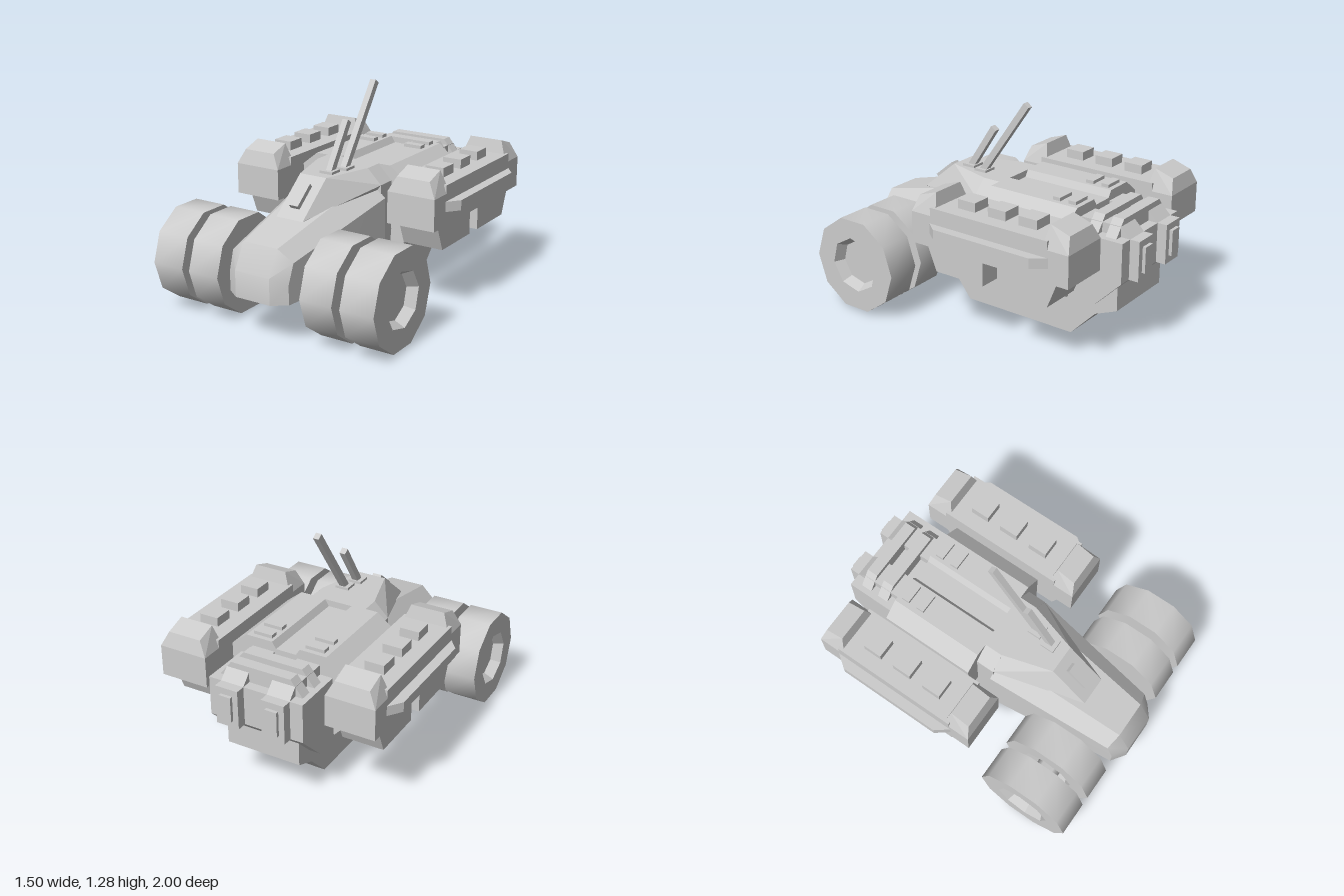
import * as THREE from 'three';
import { toCreasedNormals } from 'three/addons/utils/BufferGeometryUtils.js';
import { ConvexGeometry } from 'three/addons/geometries/ConvexGeometry.js';

const grey = new THREE.MeshStandardMaterial({ color: 0xcccccc });
const thin = new THREE.MeshStandardMaterial({ color: 0xcccccc, side: THREE.DoubleSide });

export function createModel() {
  const model = new THREE.Group();

  const add = (name, geometry, parent = model, material = grey) => {
    const mesh = new THREE.Mesh(geometry, material);
    mesh.name = name;
    parent.add(mesh);
    return mesh;
  };
  // Box given by its limits
  const box = (name, x0, x1, y0, y1, z0, z1, parent) => {
    const mesh = add(name, new THREE.BoxGeometry(Math.abs(x1 - x0), y1 - y0, z1 - z0), parent);
    mesh.position.set((x0 + x1) / 2, (y0 + y1) / 2, (z0 + z1) / 2);
    return mesh;
  };
  const shape = (pts) => new THREE.Shape(pts.map(([a, b]) => new THREE.Vector2(a, b)));
  const extrude = (s, depth) => new THREE.ExtrudeGeometry(s, { depth, bevelEnabled: false });
  // Side profile in (z, y), swept from x0 to x1
  const sweepX = (name, pts, x0, x1, parent) => add(name,
    extrude(shape(pts.map(([z, y]) => [-z, y])), x1 - x0).rotateY(Math.PI / 2).translate(x0, 0, 0), parent);
  // Front profile in (x, y), swept from z0 to z1
  const sweepZ = (name, pts, z0, z1, parent) => add(name,
    extrude(shape(pts), z1 - z0).translate(0, 0, z0), parent);
  const hull = (pts) => new ConvexGeometry(pts.map((p) => new THREE.Vector3(...p)));
  const mirrored = (pts) => [...pts, ...pts.map(([x, y, z]) => [-x, y, z])];
  const polygon = (Type, r, n, turn) => {
    const pts = [];
    for (let i = 0; i < n; i++) {
      const a = turn + (i / n) * Math.PI * 2;
      pts.push(new THREE.Vector2(r * Math.cos(a), r * Math.sin(a)));
    }
    return new Type(pts);
  };

  // Keel and lower hull
  sweepX('keel', [[0.215, 0], [0.36, 0.185], [-0.715, 0.185], [-0.535, 0]], -0.205, 0.205);
  sweepX('lowerHull', [[0.36, 0.185], [0.39, 0.26], [0.1, 0.45], [-0.86, 0.45], [-0.86, 0.245], [-0.715, 0.185]], -0.235, 0.235);

  // Tapered nose with rounded front corners
  add('nose', toCreasedNormals(hull(mirrored([
    [0.18, 0.745, 0.11], [0.295, 0.645, 0.11], [0.295, 0.245, 0.11],
    [0.115, 0.545, 0.92], [0.205, 0.475, 0.9], [0.2, 0.36, 0.94], [0.2, 0.245, 0.94],
    [0.115, 0.4, 1], [0.115, 0.245, 1],
  ])), 0.6));

  // Wedge cabin and its neck
  add('cabin', hull(mirrored([
    [0.09, 0.615, 0.65], [0.09, 0.81, 0.415], [0.18, 0.81, 0.11], [0.27, 0.72, 0.11],
    [0.18, 0.6, 0.11],
  ])));
  sweepZ('neck', [[-0.27, 0.42], [0.27, 0.42], [0.27, 0.72], [0.18, 0.81], [-0.18, 0.81], [-0.27, 0.72]], -0.01, 0.115);
  const hatch = add('hatch', new THREE.BoxGeometry(0.06, 0.03, 0.16));
  hatch.position.set(0, 0.723, 0.54);
  hatch.rotation.x = Math.atan2(0.195, 0.235);

  // Main block with a channel along the roof
  sweepZ('mainBlock', [
    [-0.36, 0.425], [0.36, 0.425], [0.36, 0.73], [0.26, 0.81], [0.09, 0.81], [0.065, 0.77],
    [-0.065, 0.77], [-0.09, 0.81], [-0.26, 0.81], [-0.36, 0.73],
  ], -0.6, 0);

  // Rear engine block and its cross bars
  sweepX('engineBlock', [[-0.59, 0.28], [-0.75, 0.28], [-0.92, 0.45], [-0.92, 0.69], [-0.59, 0.69]], -0.3, 0.3);
  for (const z of [-0.825, -0.705]) {
    sweepZ('engineBar', [[-0.265, 0.69], [0.265, 0.69], [0.19, 0.785], [-0.19, 0.785]], z - 0.035, z + 0.035);
  }

  // Slanted masts on foot plates: x, foot z and y, tip z and y
  for (const [x, z0, y0, z1, y1] of [[0.072, 0.2, 0.81, -0.125, 1.272], [0.045, 0.31, 0.81, 0.133, 1.08]]) {
    const mast = add('mast', new THREE.BoxGeometry(0.038, Math.hypot(z1 - z0, y1 - y0), 0.04));
    mast.position.set(x, (y0 + y1) / 2, (z0 + z1) / 2);
    mast.rotation.x = Math.atan2(z1 - z0, y1 - y0);
    box('mastFoot', x - 0.045, x + 0.04, 0.8, 0.825, z0 - 0.045, z0 + 0.04);
  }

  // Axle
  add('axle', new THREE.CylinderGeometry(0.075, 0.075, 1.2, 6).rotateZ(Math.PI / 2).translate(0, 0.3, 0.66));

  // Ten-sided wheel with an eight-sided recessed hub, hub facing +z before turning
  const tyreShape = polygon(THREE.Shape, 0.297, 10, 0);
  tyreShape.holes.push(polygon(THREE.Path, 0.17, 8, 0.13));
  const makeWheel = (name, width) => {
    const wheel = new THREE.Group();
    wheel.name = name;
    add('tyre', toCreasedNormals(extrude(tyreShape, width).translate(0, 0, -width / 2), 0.7), wheel);
    const turn = Math.PI / 2 + 0.13;
    const wall = new THREE.CylinderGeometry(0.17, 0.138, 0.06, 8, 1, true).toNonIndexed();
    wall.computeVertexNormals();
    add('hubWall', wall.rotateX(Math.PI / 2).rotateZ(turn - Math.PI).translate(0, 0, width / 2 - 0.03), wheel, thin);
    add('hubFloor', new THREE.CylinderGeometry(0.17, 0.17, width - 0.06, 8)
      .rotateX(Math.PI / 2).rotateZ(turn - Math.PI).translate(0, 0, -0.03), wheel);
    return wheel;
  };

  for (const s of [1, -1]) {
    const span = (a, b) => [Math.min(s * a, s * b), Math.max(s * a, s * b)];

    // Twin wheels
    for (const [name, x, width] of [['outerWheel', 0.64, 0.21], ['innerWheel', 0.382, 0.205]]) {
      const wheel = makeWheel(name, width);
      wheel.position.set(s * x, 0.302, 0.66);
      wheel.rotation.y = (s * Math.PI) / 2;
      model.add(wheel);
    }

    // Roof plates, exhaust boxes and slanted braces under the main block
    for (const z of [-0.545, -0.44]) box('roofPlate', ...span(0.11, 0.23), 0.8, 0.83, z - 0.025, z + 0.025);
    sweepX('exhaustBox', [[-0.59, 0.45], [-0.98, 0.45], [-0.98, 0.69], [-0.92, 0.69], [-0.86, 0.75], [-0.59, 0.75]], ...span(0.075, 0.22));
    box('exhaustPlate', ...span(0.11, 0.185), 0.495, 0.65, -1, -0.97);
    for (const z of [-0.145, -0.445]) {
      sweepZ('brace', [[s * 0.22, 0.245], [s * 0.25, 0.245], [s * 0.36, 0.36], [s * 0.36, 0.43], [s * 0.22, 0.43]], z - 0.087, z + 0.087);
    }

    // Side pod
    const pod = new THREE.Group();
    pod.name = s > 0 ? 'leftPod' : 'rightPod';
    model.add(pod);
    box('podBody', ...span(0.385, 0.69), 0.545, 0.785, -0.7, 0.1, pod);
    const [in0, out0] = [s * 0.385, s * 0.69];
    const [in1, out1] = [s * 0.432, s * 0.643];
    for (const d of [1, -1]) {
      const z = (v) => -0.3 + d * v; // mirrored about the pod's middle
      const cap = [];
      for (const x of [in0, out0]) cap.push([x, 0.545, z(0.36)], [x, 0.545, z(0.535)], [x, 0.735, z(0.36)], [x, 0.735, z(0.535)]);
      for (const x of [in1, out1]) cap.push([x, 0.865, z(0.39)], [x, 0.825, z(0.51)]);
      add('podCap', hull(cap), pod);
      // Hanging box under the pod
      sweepX('podUnderBox', [[z(0.05), 0.55], [z(0.45), 0.55], [z(0.385), 0.39], [z(0.05), 0.39]], ...span(0.41, 0.665), pod);
    }
    for (const z of [-0.51, -0.3, -0.09]) box('podStud', ...span(0.48, 0.6), 0.78, 0.84, z - 0.06, z + 0.06, pod);
    const rail = [];
    for (const y of [0.63, 0.69]) {
      rail.push([s * 0.68, y, 0.12], [s * 0.68, y, -0.72], [s * 0.75, y, 0.03], [s * 0.75, y, -0.625]);
    }
    add('podRail', hull(rail), pod);
  }
  return model;
}
